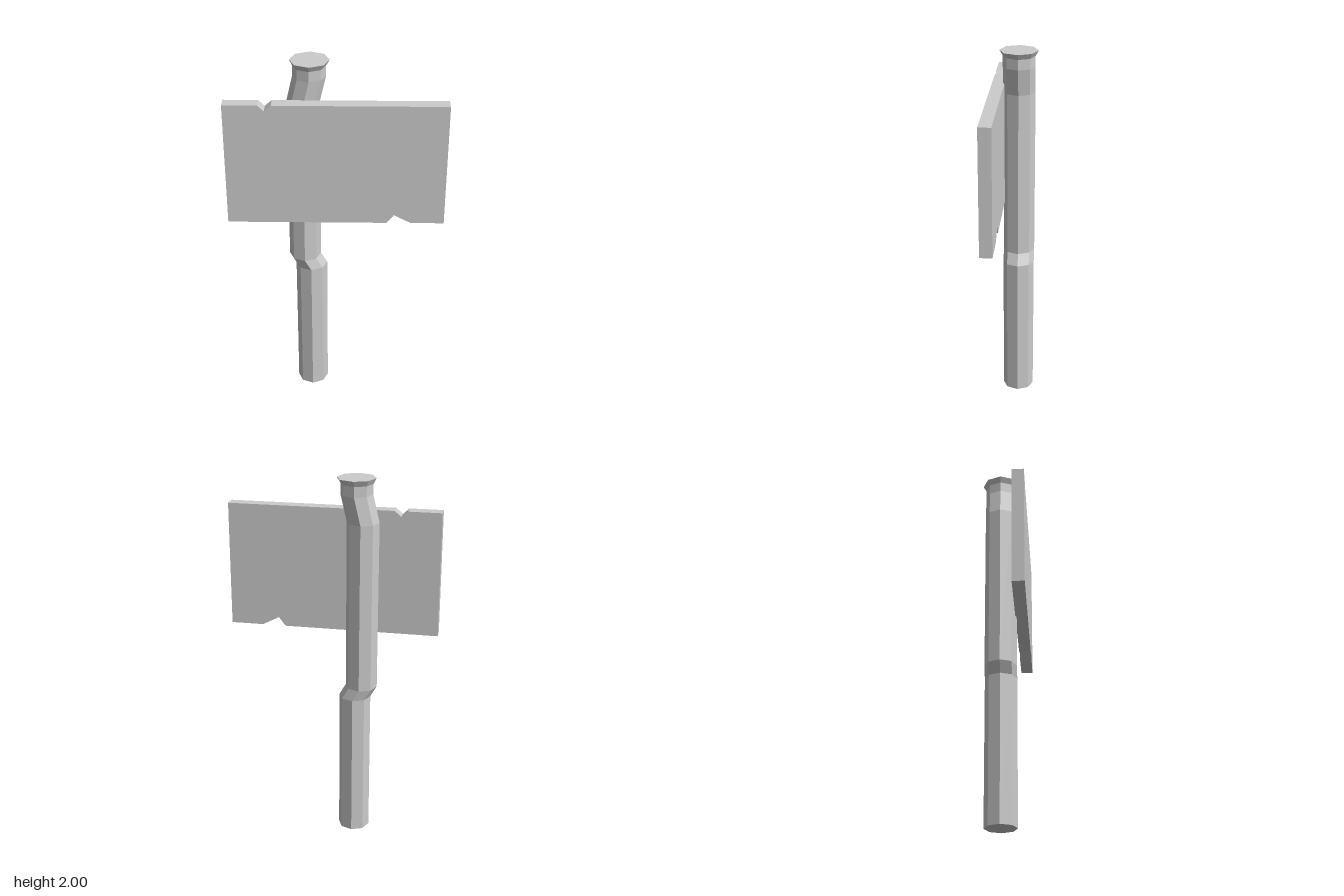
import * as THREE from 'three';

const material = new THREE.MeshStandardMaterial({ color: 0xcccccc, flatShading: true });

// Crooked octagonal post: each ring is [height, centre x, radius]
function createPost() {
  const rings = [
    [0, -0.135, 0.085],
    [0.8, -0.135, 0.085],
    [0.86, -0.169, 0.085],
    [1.77, -0.169, 0.085],
    [1.915, -0.135, 0.085],
    [1.97, -0.135, 0.085],
    [2, -0.133, 0.102],
  ];
  const last = rings.length - 1;
  const geometry = new THREE.CylinderGeometry(1, 1, last, 8, last);
  const p = geometry.attributes.position;
  for (let i = 0; i < p.count; i++) {
    const [y, cx, r] = rings[Math.round(p.getY(i) + last / 2)];
    p.setXYZ(i, cx + p.getX(i) * r, y, -0.021 + p.getZ(i) * r);
  }
  geometry.computeVertexNormals();
  const post = new THREE.Mesh(geometry, material);
  post.name = 'post';
  return post;
}

// Flat board with a chipped notch in its top and bottom edges
function createBoard() {
  const outline = [
    [-0.565, 1.145], [0.265, 1.145], [0.302, 1.192], [0.392, 1.145], [0.565, 1.145],
    [0.565, 1.816], [-0.32, 1.816], [-0.355, 1.785], [-0.387, 1.816], [-0.565, 1.816],
  ];
  const shape = new THREE.Shape(outline.map(([x, y]) => new THREE.Vector2(x, y)));
  const geometry = new THREE.ExtrudeGeometry(shape, { depth: 0.066, bevelEnabled: false });
  const board = new THREE.Mesh(geometry, material);
  board.position.z = 0.057;
  board.name = 'signBoard';
  return board;
}

export function createModel() {
  const model = new THREE.Group();
  model.name = 'signpost';
  model.add(createPost(), createBoard());
  return model;
}
